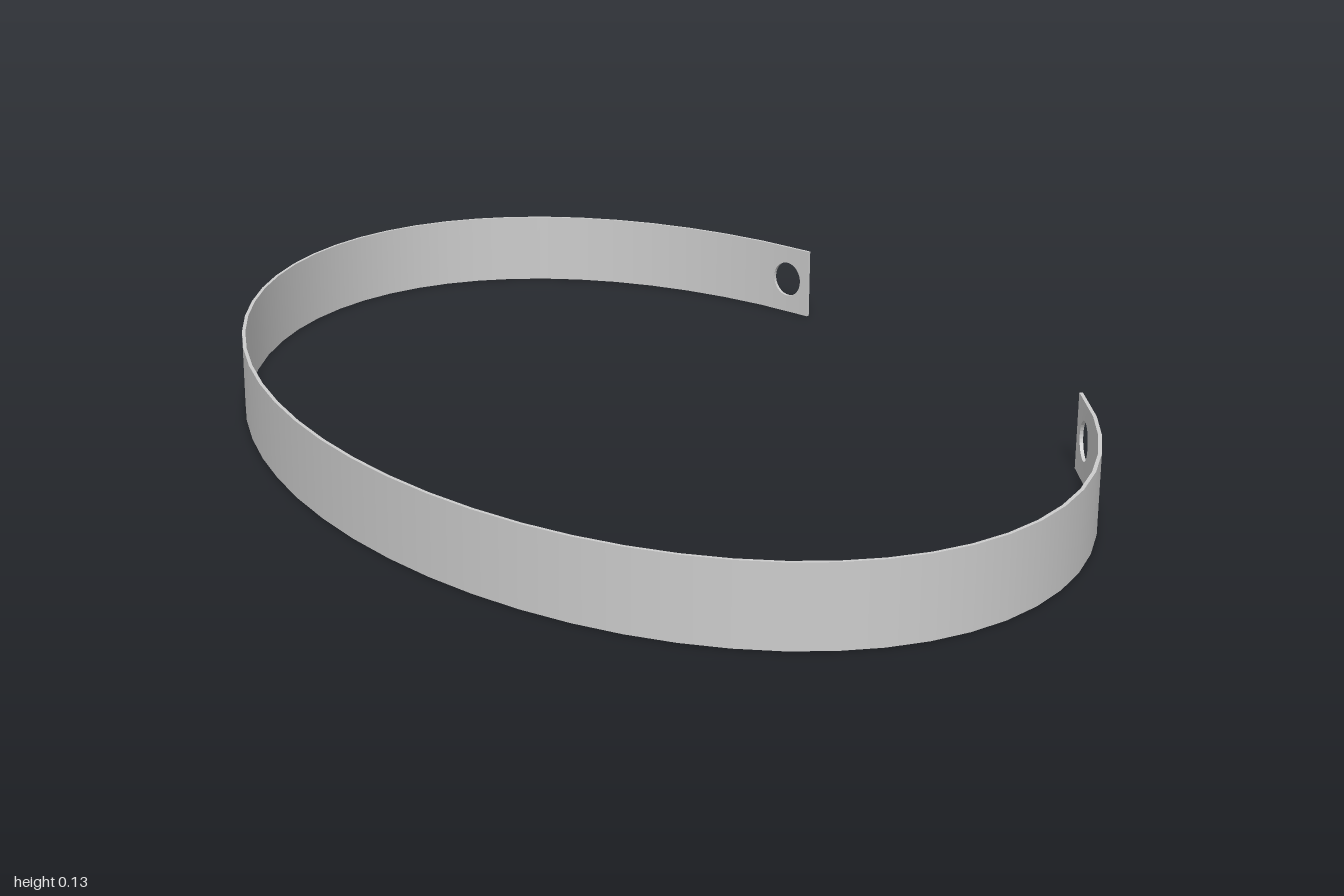
import * as THREE from 'three';

const CX = 0.04, RX = 0.657, RZ = 0.997;       // oval centre line
const HEIGHT = 0.133, THICK = 0.006;
const START = 0.506, TAB = 0.135;              // gap half-angle, tab length (radians)

// Wraps a flat strip (x = angle, y = height, z = outward) around the oval.
function bend(geo) {
  const p = geo.attributes.position, n = geo.attributes.normal;
  for (let i = 0; i < p.count; i++) {
    const u = p.getX(i), t = p.getZ(i);
    const out = new THREE.Vector3(Math.cos(u) / RX, 0, -Math.sin(u) / RZ).normalize();
    const along = new THREE.Vector3(out.z, 0, -out.x);
    const nx = n.getX(i), ny = n.getY(i), nz = n.getZ(i);
    p.setXYZ(i, CX + RX * Math.cos(u) + out.x * t, p.getY(i), -RZ * Math.sin(u) + out.z * t);
    n.setXYZ(i, out.x * nz + along.x * nx, ny, out.z * nz + along.z * nx);
  }
  geo.computeBoundingSphere();
  return geo;
}

// Short end piece with a round fixing hole.
function tabGeometry(from, holeAt) {
  const s = new THREE.Shape();
  s.moveTo(from, 0);
  s.lineTo(from + TAB, 0);
  s.lineTo(from + TAB, HEIGHT);
  s.lineTo(from, HEIGHT);
  s.closePath();
  const hole = new THREE.Path();
  hole.absellipse(holeAt, HEIGHT / 2, 0.037, 0.034, 0, Math.PI * 2, true);
  s.holes.push(hole);
  const geo = new THREE.ExtrudeGeometry(s, { depth: THICK, bevelEnabled: false, curveSegments: 16 });
  return bend(geo.translate(0, 0, -THICK / 2));
}

export function createModel() {
  const group = new THREE.Group();
  const material = new THREE.MeshStandardMaterial({ color: 0xcccccc });
  const add = (name, geo) => {
    const mesh = new THREE.Mesh(geo, material);
    mesh.name = name;
    group.add(mesh);
  };

  // Main band between the two tabs
  const length = 2 * (Math.PI - START - TAB);
  const strip = new THREE.BoxGeometry(length, HEIGHT, THICK, 48, 1, 1);
  add('band', bend(strip.translate(Math.PI, HEIGHT / 2, 0)));

  // Drilled ends
  const hole = 0.565, turn = Math.PI * 2;
  add('backEndTab', tabGeometry(START, hole));
  add('frontEndTab', tabGeometry(turn - START - TAB, turn - hole));
  return group;
}
